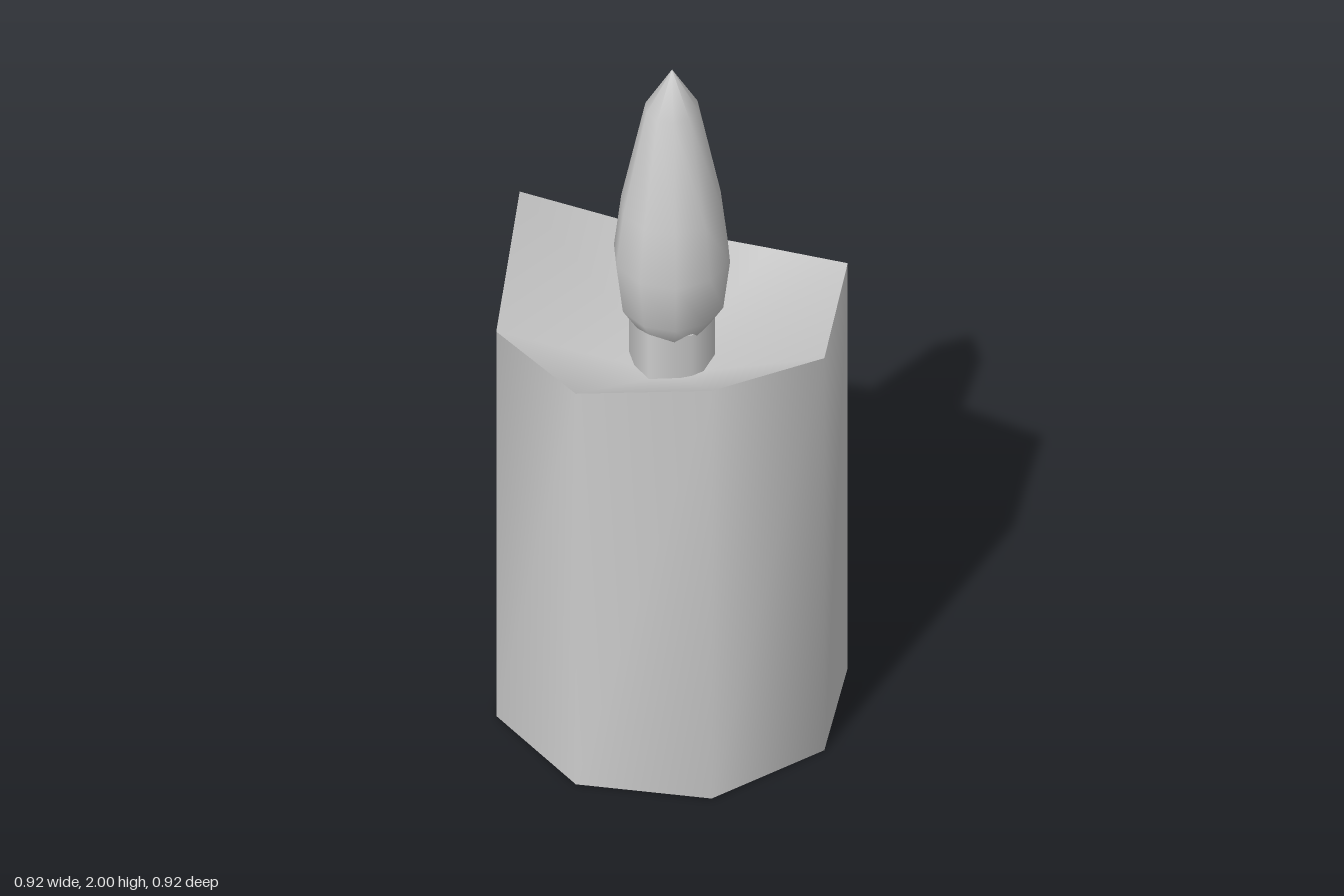
import * as THREE from 'three';

const SIDES = 8;
const RADIUS = 0.46;
// rim height at each corner, from the front (+z) round towards +x
const RIM = [1.255, 1.31, 1.26, 1.30, 1.13, 1.165, 1.42, 1.235];

const material = new THREE.MeshStandardMaterial({ color: 0xcccccc });

function addMesh(group, geometry, name) {
  const mesh = new THREE.Mesh(geometry, material);
  mesh.name = name;
  group.add(mesh);
  return mesh;
}

// Corner of the octagon at a given height
function corner(i, y) {
  const a = (i / SIDES) * Math.PI * 2;
  return [RADIUS * Math.sin(a), y, RADIUS * Math.cos(a)];
}

function indexed(points, faces) {
  const geometry = new THREE.BufferGeometry();
  geometry.setAttribute('position', new THREE.Float32BufferAttribute(points.flat(), 3));
  geometry.setIndex(faces);
  geometry.computeVertexNormals();
  return geometry;
}

// Walls rising from a flat base to the uneven rim
function wallGeometry() {
  const points = [], faces = [];
  for (let i = 0; i < SIDES; i++) {
    points.push(corner(i, 0), corner(i, RIM[i]));
    const a = i * 2, b = ((i + 1) % SIDES) * 2;
    faces.push(a, b, b + 1, a, b + 1, a + 1);
  }
  return indexed(points, faces);
}

// Fan from the rim (or base) corners to a centre point
function fanGeometry(heights, centreY, up) {
  const points = [[0, centreY, 0]], faces = [];
  for (let i = 0; i < SIDES; i++) {
    points.push(corner(i, heights[i]));
    const a = i + 1, b = ((i + 1) % SIDES) + 1;
    faces.push(0, up ? a : b, up ? b : a);
  }
  return indexed(points, faces);
}

export function createModel() {
  const group = new THREE.Group();
  group.name = 'candle';

  // Wax body
  addMesh(group, wallGeometry(), 'waxWall');
  addMesh(group, fanGeometry(RIM, 1.02, true), 'meltedTop');
  addMesh(group, fanGeometry(RIM.map(() => 0), 0, false), 'base');

  // Wick
  const wick = addMesh(group, new THREE.CylinderGeometry(0.11, 0.11, 0.22, 6), 'wick');
  wick.position.y = 1.11;

  // Flame
  const profile = [
    [0, 1.17], [0.08, 1.17], [0.135, 1.26], [0.153, 1.41],
    [0.134, 1.57], [0.07, 1.88], [0, 2],
  ].map(([r, y]) => new THREE.Vector2(r, y));
  addMesh(group, new THREE.LatheGeometry(profile, 10), 'flame');

  return group;
}
